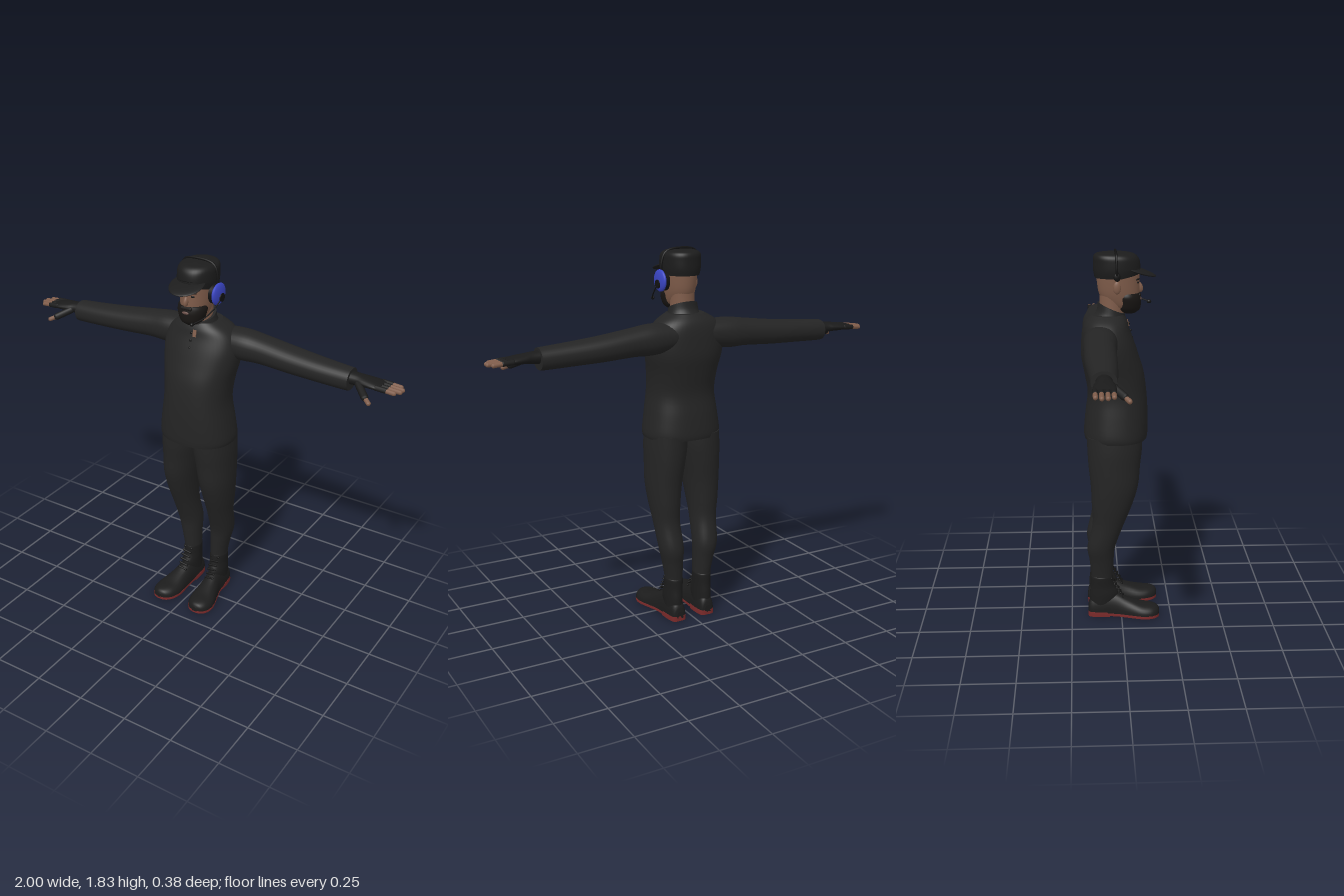
import * as THREE from 'three';
import { toCreasedNormals } from 'three/addons/utils/BufferGeometryUtils.js';

const mat = (name, color) => Object.assign(new THREE.MeshStandardMaterial({ color }), { name });
const M = {
  cloth: mat('charcoal cloth', 0x242424),
  cap: mat('cap black', 0x1c1c1c),
  glove: mat('glove black', 0x1a1a1a),
  skin: mat('skin', 0x7f5c4a),
  hair: mat('beard hair', 0x191614),
  lip: mat('lips', 0x6b4f48),
  blue: mat('headset blue', 0x3a45c4),
  plastic: mat('black plastic', 0x121212),
  sole: mat('sole red', 0x7a2a2a),
};
const V = (x, y, z) => new THREE.Vector3(x, y, z);

// Smooth skin through ring sections [t, cp, cq, rp, rq]; (t,p,q) = (y,z,x), (x,y,z) or (z,x,y)
function loft(axis, rings, { seg = 32, sub = 4, pow = 2, rule } = {}) {
  const place = { y: (t, p, q) => [q, t, p], x: (t, p, q) => [t, p, q], z: (t, p, q) => [p, q, t] }[axis];
  const n = rings.length, rows = [];
  const at = i => rings[Math.max(0, Math.min(n - 1, i))];
  for (let i = 0; i < n - 1; i++) {
    for (let k = 0; k < sub + (i === n - 2 ? 1 : 0); k++) {
      const u = k / sub;
      rows.push(rings[0].map((_, c) => {
        const [a, b, d, e] = [at(i - 1)[c], at(i)[c], at(i + 1)[c], at(i + 2)[c]];
        return 0.5 * (2 * b + (d - a) * u + (2 * a - 5 * b + 4 * d - e) * u * u + (3 * b - a - 3 * d + e) * u * u * u);
      }));
    }
  }
  const pos = [], idx = [];
  const bend = v => Math.sign(v) * Math.abs(v) ** (2 / pow);
  const addRow = ([t, cp, cq, rp, rq]) => {
    for (let j = 0; j < seg; j++) {
      const w = (j / seg) * Math.PI * 2;
      pos.push(...place(t, cp + rp * bend(Math.cos(w)), cq + rq * bend(Math.sin(w))));
    }
  };
  rows.forEach(addRow);
  for (let i = 0; i < rows.length - 1; i++) for (let j = 0; j < seg; j++) {
    const a = i * seg + j, b = i * seg + (j + 1) % seg;
    idx.push(a, b, a + seg, b, b + seg, a + seg);
  }
  // End caps with their own vertices
  [rows[0], rows[rows.length - 1]].forEach((r, end) => {
    const s = pos.length / 3;
    addRow(r);
    pos.push(...place(r[0], r[1], r[2]));
    for (let j = 0; j < seg; j++) {
      const a = s + j, b = s + (j + 1) % seg;
      idx.push(s + seg, end ? a : b, end ? b : a);
    }
  });
  const g = new THREE.BufferGeometry();
  g.setAttribute('position', new THREE.Float32BufferAttribute(pos, 3));
  g.setIndex(idx);
  if (rule) {
    const p = g.attributes.position, v = V(0, 0, 0);
    for (let i = 0; i < p.count; i++) {
      rule(v.fromBufferAttribute(p, i));
      p.setXYZ(i, v.x, v.y, v.z);
    }
  }
  g.computeVertexNormals();
  return g;
}

// Rounded rod between two points
function rod(a, b, r) {
  const d = b.clone().sub(a);
  const g = new THREE.CapsuleGeometry(r, d.length(), 4, 10);
  g.applyQuaternion(new THREE.Quaternion().setFromUnitVectors(V(0, 1, 0), d.clone().normalize()));
  return g.translate(...a.clone().add(b).multiplyScalar(0.5).toArray());
}

const ball = (x, y, z, rx, ry, rz, tilt = 0) =>
  new THREE.SphereGeometry(1, 24, 16).scale(rx, ry, rz).rotateX(tilt).translate(x, y, z);
const tube = (pts, r) => new THREE.TubeGeometry(new THREE.CatmullRomCurve3(pts), 32, r, 8);
const disc = (x, y, z, r, w) => new THREE.CylinderGeometry(r, r, w, 28).rotateZ(Math.PI / 2).translate(x, y, z);

// Mirror in x, swapping corners so faces stay outward
function mirrored(geo) {
  const g = geo.index ? geo.toNonIndexed() : geo.clone();
  for (const key of ['position', 'normal']) {
    const src = g.attributes[key].clone(), dst = g.attributes[key];
    for (let i = 0; i < src.count; i++) {
      const k = i - (i % 3) + [0, 2, 1][i % 3];
      dst.setXYZ(i, -src.getX(k), src.getY(k), src.getZ(k));
    }
  }
  return g;
}

export function createModel() {
  const root = new THREE.Group();
  root.name = 'standingMan';
  const add = (name, geo, m) => {
    const mesh = new THREE.Mesh(geo, m);
    mesh.name = name;
    root.add(mesh);
  };
  const pair = (name, geo, m) => {
    add(name + 'Left', geo, m);
    add(name + 'Right', mirrored(geo), m);
  };

  // Sweater
  add('sweater', loft('y', [
    [0.93, -0.025, 0, 0.152, 0.186], [0.96, -0.025, 0, 0.155, 0.19], [1.05, -0.021, 0, 0.151, 0.178],
    [1.15, -0.018, 0, 0.142, 0.165], [1.25, -0.033, 0, 0.143, 0.172], [1.33, -0.052, 0, 0.138, 0.188],
    [1.4, -0.063, 0, 0.126, 0.193], [1.46, -0.071, 0, 0.112, 0.178], [1.5, -0.07, 0, 0.1, 0.142],
    [1.53, -0.065, 0, 0.08, 0.09]], { seg: 48, pow: 2.3 }), M.cloth);
  add('collar', loft('y', [
    [1.48, -0.05, 0, 0.085, 0.095], [1.52, -0.045, 0, 0.069, 0.078], [1.56, -0.045, 0, 0.064, 0.07]],
    { rule: v => { v.y -= (v.z + 0.045) * 0.42; } }), M.cloth);
  add('neckOpening', new THREE.BoxGeometry(0.018, 0.032, 0.008).rotateX(-0.25).translate(0.012, 1.483, 0.034), M.skin);
  for (const y of [1.485, 1.45, 1.415])
    add('button', ball(-0.003, y, 0.04 + (1.485 - y) * 0.22, 0.006, 0.006, 0.004), M.plastic);

  // Sleeves
  pair('sleeve', loft('x', [
    [0.08, 1.43, -0.1, 0.062, 0.075], [0.2, 1.424, -0.102, 0.073, 0.08], [0.3, 1.419, -0.105, 0.066, 0.075],
    [0.45, 1.405, -0.104, 0.06, 0.073], [0.6, 1.395, -0.1, 0.055, 0.066], [0.73, 1.388, -0.098, 0.052, 0.058],
    [0.755, 1.388, -0.098, 0.05, 0.056]], { pow: 2.2 }), M.cloth);

  // Gloved hands with bare fingertips
  pair('glove', loft('x', [
    [0.7, 1.395, -0.098, 0.032, 0.036], [0.78, 1.396, -0.098, 0.028, 0.036], [0.82, 1.396, -0.098, 0.023, 0.044],
    [0.87, 1.394, -0.099, 0.019, 0.05], [0.905, 1.392, -0.1, 0.012, 0.047]], { seg: 24 }), M.glove);
  [[-0.138, 0.975], [-0.113, 0.992], [-0.088, 0.99], [-0.063, 0.972]].forEach(([z, tip]) => {
    pair('gloveFinger', rod(V(0.885, 1.393, z), V(0.928, 1.391, z), 0.0125), M.glove);
    pair('fingertip', rod(V(0.92, 1.391, z), V(tip - 0.002, 1.387, z), 0.0105), M.skin);
  });
  pair('gloveThumb', rod(V(0.8, 1.388, -0.068), V(0.855, 1.357, -0.018), 0.017), M.glove);
  pair('thumbTip', rod(V(0.855, 1.357, -0.018), V(0.883, 1.344, 0.002), 0.011), M.skin);

  // Trousers
  pair('trouserLeg', loft('y', [
    [0.19, -0.097, 0.08, 0.049, 0.042], [0.22, -0.097, 0.08, 0.053, 0.042], [0.3, -0.099, 0.087, 0.06, 0.05],
    [0.38, -0.1, 0.095, 0.069, 0.06], [0.5, -0.066, 0.102, 0.077, 0.063], [0.6, -0.048, 0.105, 0.098, 0.073],
    [0.7, -0.035, 0.103, 0.115, 0.083], [0.8, -0.035, 0.096, 0.125, 0.091], [0.88, -0.033, 0.09, 0.132, 0.097],
    [0.95, -0.033, 0.088, 0.134, 0.095]], { pow: 2.1 }), M.cloth);

  // Boots
  const foot = [
    [-0.167, 0.08, 0.02, 0.018, 0.03], [-0.155, 0.08, 0.02, 0.036, 0.07], [-0.1, 0.081, 0.02, 0.044, 0.1],
    [-0.03, 0.084, 0.02, 0.046, 0.098], [0.03, 0.092, 0.02, 0.055, 0.073], [0.1, 0.101, 0.02, 0.067, 0.05],
    [0.15, 0.106, 0.02, 0.06, 0.043], [0.18, 0.108, 0.02, 0.038, 0.034], [0.19, 0.108, 0.02, 0.014, 0.018]];
  pair('bootFoot', loft('z', foot, { pow: 2.3, rule: v => { v.y = Math.max(v.y, 0.014); } }), M.cap);
  pair('bootShaft', loft('y', [
    [0.04, -0.1, 0.08, 0.06, 0.04], [0.11, -0.088, 0.081, 0.072, 0.043], [0.16, -0.095, 0.08, 0.06, 0.042],
    [0.205, -0.098, 0.08, 0.056, 0.044], [0.215, -0.098, 0.08, 0.053, 0.042]]), M.cap);
  for (let i = 0; i < 6; i++) {
    const y = 0.098 + i * 0.02, z = 0.018 - i * 0.0115;
    pair('lace', rod(V(0.062, y, z - 0.01), V(0.104, y + 0.006, z - 0.01), 0.0055), M.plastic);
  }
  const flat = (lo, hi) => v => { v.y = v.y > 0.0201 ? hi : v.y < 0.0199 ? lo : (lo + hi) / 2; };
  const soleGeo = (rings, lo, hi) => toCreasedNormals(
    loft('z', rings.map(r => [r[0], r[1], 0.02, r[3] * 1.03, 0.05]), { rule: flat(lo, hi) }), 0.7);
  pair('sole', soleGeo(foot, 0.006, 0.02), M.sole);
  pair('heel', soleGeo(foot.slice(0, 3).concat([[-0.06, 0.082, 0.02, 0.044, 0.05]]), 0, 0.026), M.sole);

  // Head and neck
  add('neck', loft('y', [
    [1.48, -0.05, 0, 0.055, 0.06], [1.56, -0.04, 0, 0.06, 0.058], [1.64, -0.04, 0, 0.06, 0.058]]), M.skin);
  add('head', loft('y', [
    [1.545, 0.03, 0, 0.035, 0.03], [1.57, 0.01, 0, 0.073, 0.054], [1.62, -0.006, 0, 0.094, 0.069],
    [1.68, -0.012, 0, 0.1, 0.076], [1.74, -0.014, 0, 0.1, 0.077], [1.78, -0.014, 0, 0.08, 0.06]]), M.skin);
  add('beard', loft('y', [
    [1.535, 0.04, 0, 0.028, 0.026], [1.555, 0.033, 0, 0.058, 0.054], [1.59, 0.034, 0, 0.062, 0.068],
    [1.615, 0.03, 0, 0.063, 0.072], [1.632, 0.03, 0, 0.058, 0.066]]), M.hair);
  add('moustache', rod(V(-0.022, 1.622, 0.086), V(0.022, 1.622, 0.086), 0.009), M.hair);
  add('mouth', ball(0, 1.602, 0.094, 0.018, 0.007, 0.005), M.lip);
  add('nose', ball(0, 1.657, 0.088, 0.012, 0.026, 0.016, -0.35), M.skin);
  pair('ear', ball(0.08, 1.665, -0.02, 0.01, 0.03, 0.018), M.skin);
  pair('eye', ball(0.029, 1.682, 0.079, 0.011, 0.005, 0.005), M.plastic);
  pair('eyebrow', rod(V(0.017, 1.697, 0.084), V(0.042, 1.697, 0.073), 0.004), M.hair);

  // Cap
  add('cap', loft('y', [
    [1.705, -0.018, 0, 0.105, 0.083], [1.735, -0.018, 0, 0.111, 0.089], [1.775, -0.02, 0, 0.11, 0.09],
    [1.8, -0.025, 0, 0.104, 0.087], [1.815, -0.03, 0, 0.086, 0.072], [1.822, -0.03, 0, 0.045, 0.038]],
    { seg: 40, pow: 2.2, rule: v => { if (v.y < 1.74) v.y += Math.max(0, v.z) * 0.2; } }), M.cap);
  add('capBrim', ball(0, 1.735, 0.078, 0.084, 0.011, 0.092, 0.3), M.cap);

  // One-sided headset
  add('headband', tube([V(0.1, 1.69, -0.02), V(0.1, 1.76, -0.022), V(0.078, 1.812, -0.024), V(0, 1.827, -0.025),
    V(-0.078, 1.812, -0.024), V(-0.094, 1.76, -0.022), V(-0.09, 1.71, -0.02)], 0.006), M.plastic);
  add('templePad', ball(-0.089, 1.715, -0.02, 0.008, 0.02, 0.016), M.plastic);
  add('earCushion', disc(0.092, 1.68, -0.02, 0.048, 0.026), M.plastic);
  add('earCup', ball(0.106, 1.68, -0.02, 0.016, 0.052, 0.056), M.blue);
  add('earCupHub', disc(0.12, 1.665, -0.024, 0.02, 0.012), M.plastic);
  add('micBoom', tube([V(0.122, 1.665, -0.024), V(0.115, 1.63, 0.02), V(0.095, 1.595, 0.08), V(0.066, 1.577, 0.135)], 0.003), M.plastic);
  add('microphone', ball(0.064, 1.576, 0.138, 0.009, 0.009, 0.011), M.plastic);

  return root;
}
